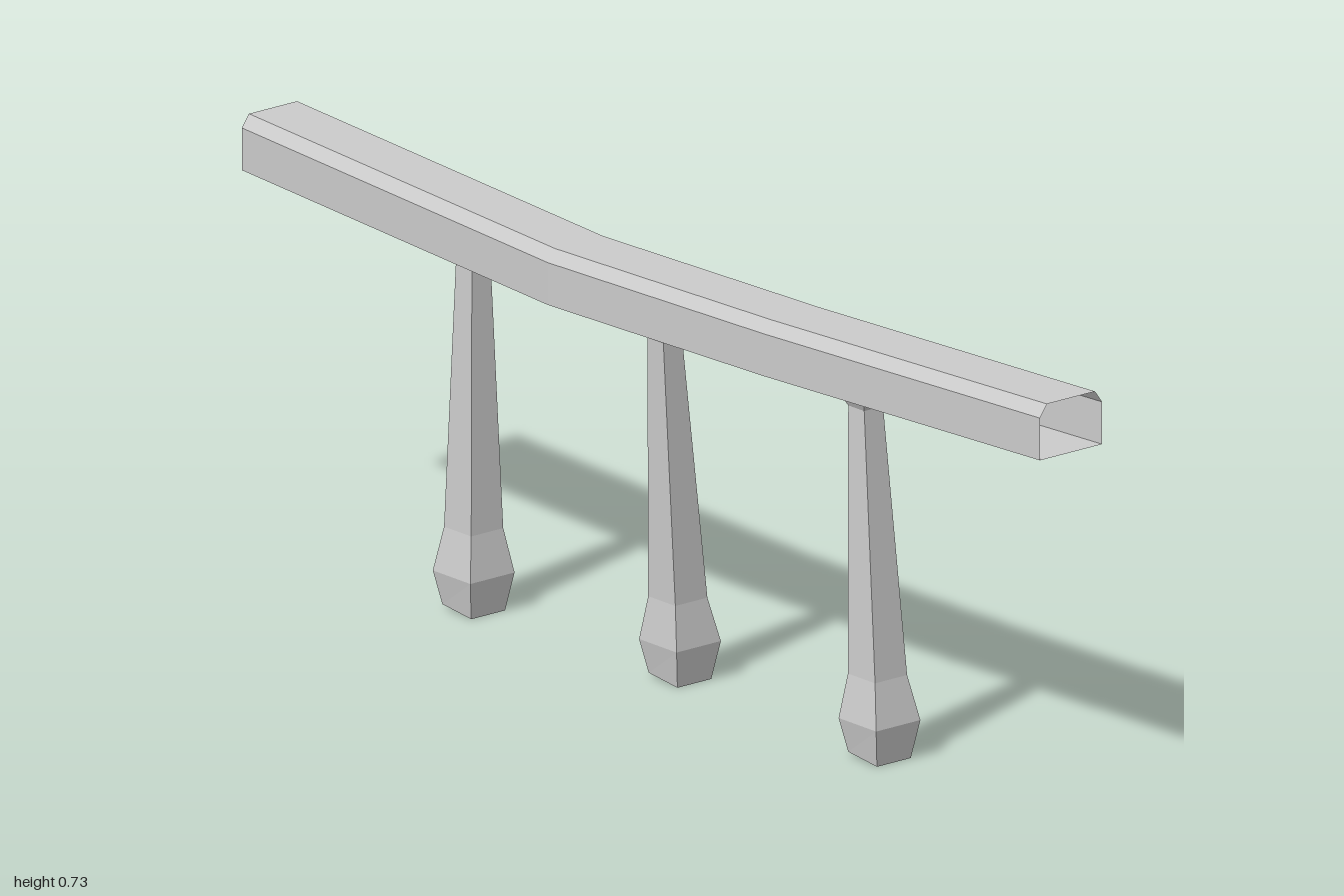
import * as THREE from 'three';

// Skin of quads between successive rings of points, open at both ends
function loft(rings, name, material) {
  const pos = [];
  for (let i = 0; i < rings.length - 1; i++) {
    const n = rings[i].length;
    for (let j = 0; j < n; j++) {
      const k = (j + 1) % n;
      const a = rings[i][j], b = rings[i][k], c = rings[i + 1][k], d = rings[i + 1][j];
      pos.push(...a, ...b, ...c, ...a, ...c, ...d);
    }
  }
  const geo = new THREE.BufferGeometry();
  geo.setAttribute('position', new THREE.Float32BufferAttribute(pos, 3));
  geo.computeVertexNormals();
  const mesh = new THREE.Mesh(geo, material);
  mesh.name = name;
  return mesh;
}

export function createModel() {
  const group = new THREE.Group();
  group.name = 'railing';
  const material = new THREE.MeshStandardMaterial({
    color: 0xcccccc, flatShading: true, side: THREE.DoubleSide,
  });

  // Hollow handrail: chamfered section, sagging and bowing along its length
  const section = [
    [0.066, 0], [-0.066, 0], [-0.066, 0.072], [-0.051, 0.093], [0.051, 0.093], [0.066, 0.072],
  ];
  const stations = [ // x, bottom y, z
    [0.008, 0.638, 1], [-0.011, 0.62, 0.33], [-0.012, 0.608, -0.21], [0.008, 0.638, -1],
  ];
  group.add(loft(
    stations.map(([x, y, z]) => section.map(([u, v]) => [x + u, y + v, z])),
    'handrail', material,
  ));

  // Square balusters: bulbous foot, tapering shaft, flared head inside the rail
  const profile = [ // half width, y
    [0.036, 0.004], [0.047, 0.065], [0.034, 0.14], [0.02, 0.59], [0.036, 0.622], [0.036, 0.673],
  ];
  const corners = [[1, 1], [1, -1], [-1, -1], [-1, 1]];
  const posts = [ // foot x, foot z, head x, head z
    ['frontBaluster', 0.008, 0.52, 0.008, 0.485],
    ['middleBaluster', 0.03, -0.006, -0.011, 0.004],
    ['backBaluster', 0.008, -0.497, 0.008, -0.498],
  ];
  for (const [name, x0, z0, x1, z1] of posts) {
    const rings = profile.map(([r, y]) => {
      // The foot stands straight, the shaft leans towards the head
      const t = THREE.MathUtils.clamp((y - 0.065) / 0.53, 0, 1);
      const x = THREE.MathUtils.lerp(x0, x1, t);
      const z = THREE.MathUtils.lerp(z0, z1, t);
      return corners.map(([u, w]) => [x + u * r, y === 0.004 ? 0.004 - 0.004 * w : y, z + w * r]);
    });
    group.add(loft(rings, name, material));
  }
  return group;
}
